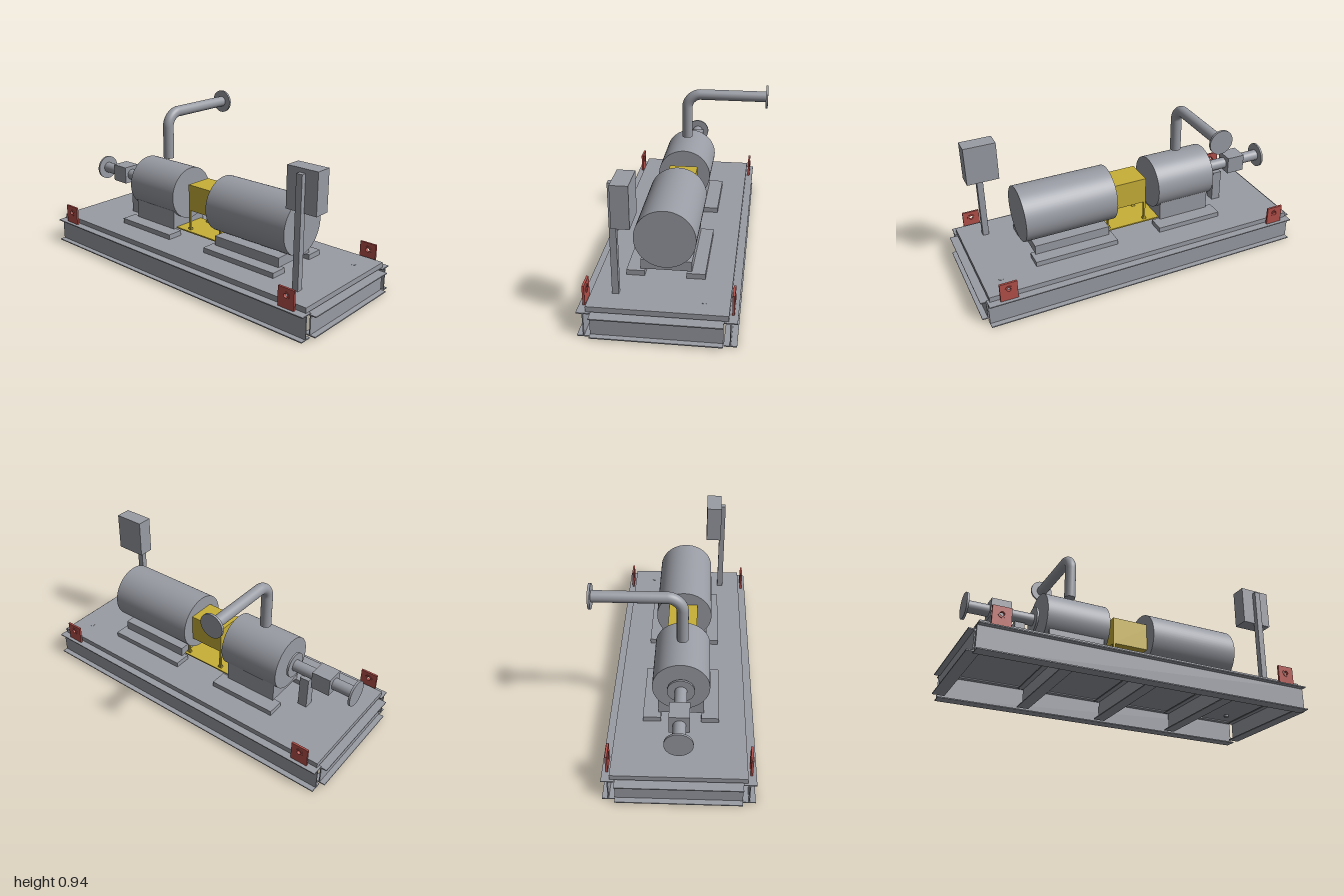
import * as THREE from 'three';

const paint = (name, color) => {
  const m = new THREE.MeshStandardMaterial({ color });
  m.name = name;
  return m;
};

export function createModel() {
  const grey = paint('steel grey', 0x999ca4);
  const yellow = paint('guard yellow', 0xc8b038);
  const red = paint('lug red', 0xb5504a);
  const root = new THREE.Group();
  root.name = 'pumpSkid';

  const group = (name, parent = root) => {
    const g = new THREE.Group();
    g.name = name;
    parent.add(g);
    return g;
  };
  const add = (name, geometry, material, parent = root) => {
    const m = new THREE.Mesh(geometry, material);
    m.name = name;
    parent.add(m);
    return m;
  };
  // Box given by its limits on each axis
  const box = (name, [x0, x1], [y0, y1], [z0, z1], mat = grey, parent = root) => {
    const m = add(name, new THREE.BoxGeometry(x1 - x0, y1 - y0, z1 - z0), mat, parent);
    m.position.set((x0 + x1) / 2, (y0 + y1) / 2, (z0 + z1) / 2);
    return m;
  };
  // Cylinder lying along x
  const cylX = (name, x0, x1, r, parent = root) => {
    const g = new THREE.CylinderGeometry(r, r, x1 - x0, 64).rotateZ(Math.PI / 2);
    const m = add(name, g, grey, parent);
    m.position.set((x0 + x1) / 2, AXIS_Y, AXIS_Z);
    return m;
  };
  const AXIS_Y = 0.408, AXIS_Z = 0.043;

  // I-beam along z, extruded from its profile
  const iBeam = (name, length, y0, y1, parent) => {
    const w = 0.034, t = 0.006, k = 0.003;
    const s = new THREE.Shape([
      [-w, y0], [w, y0], [w, y0 + t], [k, y0 + t], [k, y1 - t], [w, y1 - t],
      [w, y1], [-w, y1], [-w, y1 - t], [-k, y1 - t], [-k, y0 + t], [-w, y0 + t],
    ].map(([x, y]) => new THREE.Vector2(x, y)));
    const g = new THREE.ExtrudeGeometry(s, { depth: length, bevelEnabled: false });
    return add(name, g.translate(0, 0, -length / 2), grey, parent);
  };

  // Base frame
  const frame = group('baseFrame');
  for (const z of [0.414, -0.325]) {
    const b = iBeam('longBeam', 1.936, 0, 0.14, frame);
    b.rotation.y = Math.PI / 2;
    b.position.z = z;
  }
  for (let i = -2; i <= 2; i++) {
    iBeam('crossBeam', 0.67, 0.012, 0.129, frame).position.set(i * 0.483, 0, 0.045);
  }
  box('deck', [-0.955, 0.955], [0.14, 0.17], [-0.315, 0.402], grey, frame);
  const drain = add('drain', new THREE.CylinderGeometry(0.014, 0.014, 0.045, 24), grey, frame);
  drain.position.set(0.85, 0.149, -0.185);

  // Lifting lugs with cheek rings
  const disc = (shape, depth) => {
    shape.holes.push(new THREE.Path().absarc(0, 0, 0.012, 0, Math.PI * 2, true));
    return new THREE.ExtrudeGeometry(shape, { depth, bevelEnabled: false, curveSegments: 24 })
      .translate(0, 0, -depth / 2);
  };
  const plateShape = () => new THREE.Shape(
    [[-0.05, -0.07], [0.05, -0.07], [0.05, 0.041], [-0.05, 0.041]].map(p => new THREE.Vector2(...p)));
  const ringShape = () => new THREE.Shape().absarc(0, 0, 0.022, 0, Math.PI * 2);
  for (const x of [-0.854, 0.85]) {
    for (const z of [0.422, -0.333]) {
      const lug = group('liftingLug');
      add('lugPlate', disc(plateShape(), 0.012), red, lug);
      add('lugCheek', disc(ringShape(), 0.018), red, lug);
      lug.position.set(x, 0.21, z);
    }
  }

  // Pump and motor on their pedestals
  const machine = (name, body, r, foot, top, halfWidth, pad) => {
    const g = group(name);
    cylX(name + 'Body', body[0], body[1], r, g);
    box(name + 'Pedestal', foot, [0.2, top], [AXIS_Z - halfWidth, AXIS_Z + halfWidth], grey, g);
    for (const z of [[0.156, 0.254], [-0.168, -0.068]]) box(name + 'Pad', pad, [0.17, 0.2], z, grey, g);
  };
  machine('pump', [-0.536, -0.165], 0.157, [-0.513, -0.19], 0.317, 0.127, [-0.556, -0.145]);
  machine('motor', [0.107, 0.662], 0.165, [0.155, 0.614], 0.256, 0.138, [0.132, 0.636]);

  // Coupling guard on four legs
  const guard = group('couplingGuard');
  box('guardPlate', [-0.19, 0.155], [0.2, 0.208], [-0.064, 0.146], yellow, guard);
  box('guardCover', [-0.109, 0.146], [0.33, 0.49], [-0.046, 0.122], yellow, guard);
  for (const x of [-0.102, 0.138]) {
    for (const z of [-0.04, 0.116]) {
      box('guardLeg', [x - 0.006, x + 0.006], [0.208, 0.331], [z - 0.006, z + 0.006], yellow, guard);
      box('guardFoot', [x - 0.011, x + 0.011], [0.208, 0.22], [z - 0.009, z + 0.009], yellow, guard);
    }
  }

  // Suction line with valve and support
  const suction = group('suctionLine');
  cylX('suctionPipe', -0.953, -0.556, 0.034, suction);
  cylX('inletFlange', -0.956, -0.944, 0.075, suction);
  cylX('pumpFlange', -0.568, -0.556, 0.075, suction);
  box('valve', [-0.82, -0.707], [0.357, 0.463], [-0.012, 0.096], grey, suction);
  box('pipeSupport', [-0.676, -0.62], [0.17, 0.365], [0.015, 0.072], grey, suction);

  // Discharge line: riser, elbow and run to the back
  const discharge = group('dischargeLine');
  const V = (y, z) => new THREE.Vector3(-0.352, y, z);
  const path = new THREE.CurvePath();
  const c = 0.08 * 0.4477;
  path.add(new THREE.LineCurve3(V(0.593, 0.045), V(0.788, 0.045)));
  path.add(new THREE.CubicBezierCurve3(V(0.788, 0.045), V(0.868 - c, 0.045), V(0.868, -0.035 + c), V(0.868, -0.035)));
  path.add(new THREE.LineCurve3(V(0.868, -0.035), V(0.868, -0.436)));
  add('dischargePipe', new THREE.TubeGeometry(path, 90, 0.032, 32), grey, discharge);
  const cap = add('pipeEnd', new THREE.CircleGeometry(0.032, 32).rotateX(Math.PI / 2), grey, discharge);
  cap.position.copy(V(0.593, 0.045));
  const flange = add('dischargeFlange',
    new THREE.CylinderGeometry(0.069, 0.069, 0.013, 48).rotateX(Math.PI / 2), grey, discharge);
  flange.position.copy(V(0.868, -0.441));

  // Control panel on its post
  const panel = group('controlPanel');
  box('panelPost', [0.787, 0.823], [0.17, 0.79], [0.257, 0.292], grey, panel);
  box('panelBox', [0.711, 0.897], [0.584, 0.813], [0.173, 0.265], grey, panel);

  return root;
}
